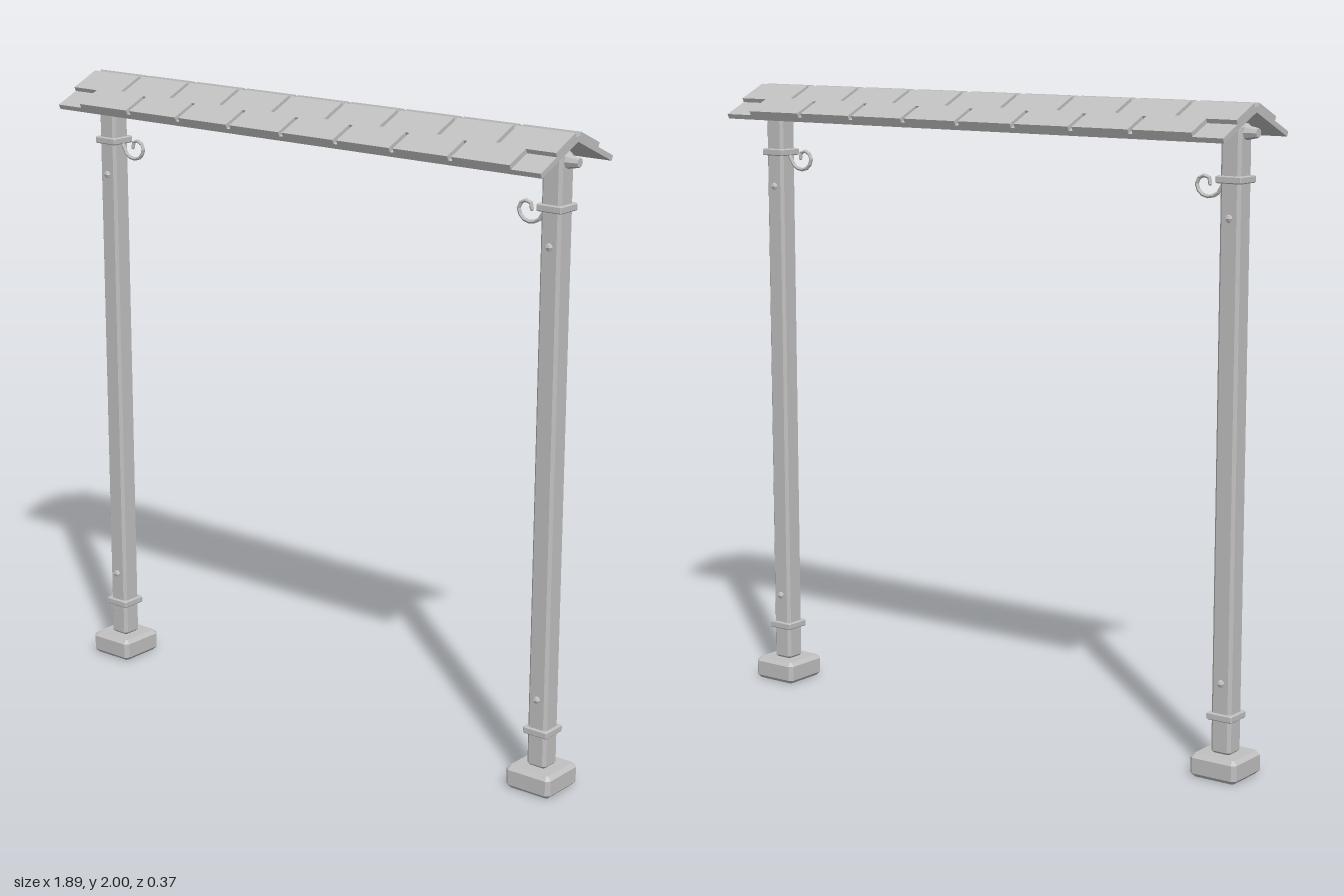
import * as THREE from 'three';

const grey = new THREE.MeshStandardMaterial({ color: 0xc0c0c0 });
grey.name = 'grey metal';

// Faceted mesh
function part(name, geo, parent, x = 0, y = 0, z = 0) {
  const g = geo.index ? geo.toNonIndexed() : geo;
  g.computeVertexNormals();
  const mesh = new THREE.Mesh(g, grey);
  mesh.name = name;
  mesh.position.set(x, y, z);
  parent.add(mesh);
  return mesh;
}

// Box standing on y = 0 with every edge chamfered by c
function chamferBox(w, h, d, c) {
  const a = w / 2 - c, b = d / 2 - c, k = c * 0.42;
  const s = new THREE.Shape();
  [[-a, -b + k], [-a + k, -b], [a - k, -b], [a, -b + k], [a, b - k], [a - k, b], [-a + k, b], [-a, b - k]]
    .forEach(([x, y], i) => (i ? s.lineTo(x, y) : s.moveTo(x, y)));
  const g = new THREE.ExtrudeGeometry(s, {
    depth: h - 2 * c, bevelEnabled: true, bevelThickness: c, bevelSize: c, bevelSegments: 1,
  });
  return g.translate(0, 0, c).rotateX(-Math.PI / 2);
}

// Curled hook; side is the direction away from the post
function buildHook(side, parent) {
  const pts = [[0.84, 1.785], [0.823, 1.765], [0.807, 1.738], [0.775, 1.726], [0.745, 1.738], [0.735, 1.768],
    [0.754, 1.786], [0.776, 1.782], [0.78, 1.763]].map(([x, y]) => new THREE.Vector3(side * x, y, 0));
  const curve = new THREE.CatmullRomCurve3(pts);
  part('hook', new THREE.TubeGeometry(curve, 12, 0.006, 6), parent);
  const tip = pts[pts.length - 1];
  part('hookTip', new THREE.SphereGeometry(0.006, 6, 4), parent, tip.x, tip.y, tip.z);
}

function buildPost(side) {
  const post = new THREE.Group();
  post.name = side > 0 ? 'leftPost' : 'rightPost';
  const x = side * 0.865;
  part('foot', chamferBox(0.16, 0.072, 0.16, 0.012), post, x, 0, 0);
  part('shaft', chamferBox(0.068, 1.87, 0.068, 0.009), post, x, 0.07, 0);
  for (const y of [0.175, 1.77]) part('collar', chamferBox(0.086, 0.022, 0.086, 0.003), post, x, y, 0);
  for (const y of [0.29, 1.67]) {
    for (const z of [-0.034, 0.034]) part('bolt', new THREE.SphereGeometry(0.012, 6, 4), post, x, y, z);
  }
  // Pin through the top of the post into the beam
  const pin = new THREE.CylinderGeometry(0.014, 0.022, 0.04, 8).rotateZ(-side * Math.PI / 2);
  part('endPin', pin, post, side * 0.918, 1.915, 0);
  buildHook(side, post);
  return post;
}

// Shingle sheet outline in (x, distance down the slope), slotted from both edges
function shingleSheet() {
  const L = 0.93, top = 0.015, low = 0.205, mid = 0.12, w = 0.007, step = 0.2075;
  const s = new THREE.Shape();
  s.moveTo(-L, top);
  for (let i = 0; i < 8; i++) {
    const x = (i - 3.5) * step;
    s.lineTo(x - w, top); s.lineTo(x - w, 0.108); s.lineTo(x + w, 0.108); s.lineTo(x + w, top);
  }
  s.lineTo(L, top); s.lineTo(L, mid); s.lineTo(0.83, mid); s.lineTo(0.83, low);
  for (let i = 3; i >= -3; i--) {
    const x = i * step;
    s.lineTo(x + w, low); s.lineTo(x + w, mid); s.lineTo(x - w, mid); s.lineTo(x - w, low);
  }
  s.lineTo(-0.83, low); s.lineTo(-0.83, mid); s.lineTo(-L, mid);
  s.closePath();
  return new THREE.ExtrudeGeometry(s, { depth: 0.014, bevelEnabled: false }).rotateX(Math.PI / 2);
}

function buildRoofSide(front) {
  const half = new THREE.Group();
  half.name = front ? 'frontRoof' : 'backRoof';
  const slope = new THREE.Group();
  slope.name = 'slope';
  slope.position.y = 2.006;
  slope.rotation.x = 0.42;
  part('shingles', shingleSheet(), slope);
  part('roofBoard', new THREE.BoxGeometry(1.86, 0.016, 0.198), slope, 0, -0.022, 0.106);
  half.add(slope);
  if (!front) half.rotation.y = Math.PI;
  return half;
}

export function createModel() {
  const model = new THREE.Group();
  model.name = 'roofedGateway';
  model.add(buildPost(1), buildPost(-1), buildRoofSide(true), buildRoofSide(false));
  // Ridge beam with a bolt under its middle
  part('beam', new THREE.BoxGeometry(1.7, 0.05, 0.044), model, 0, 1.93, 0);
  part('beamBolt', new THREE.SphereGeometry(0.012, 6, 4), model, 0, 1.904, 0);
  return model;
}
